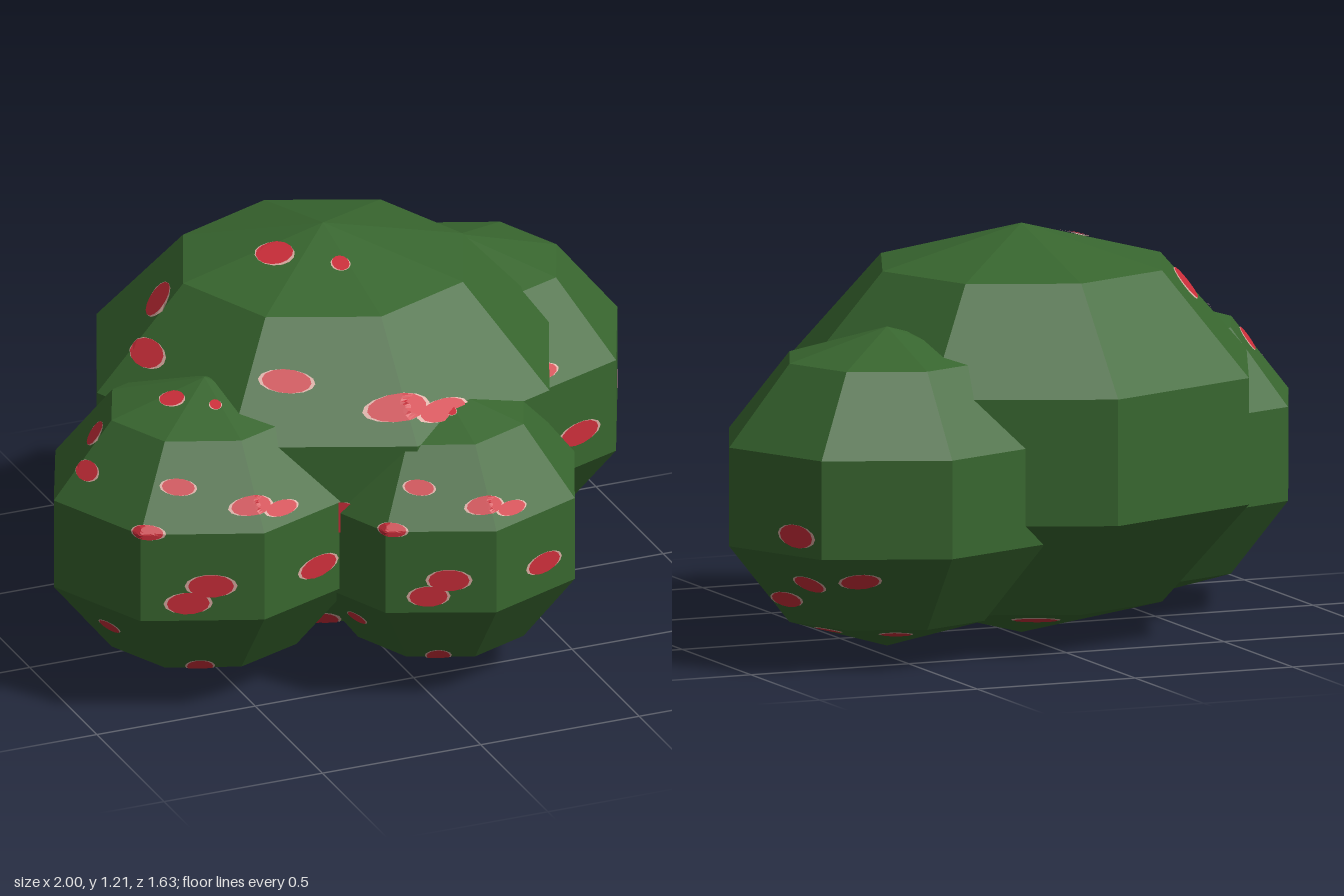
import * as THREE from 'three';
import { mergeGeometries } from 'three/addons/utils/BufferGeometryUtils.js';

const green = new THREE.MeshStandardMaterial({ color: 0x38662f, flatShading: true });
green.name = 'leafGreen';
const red = new THREE.MeshStandardMaterial({ color: 0xcc2e3a, flatShading: true });
red.name = 'berryRed';
const pale = new THREE.MeshStandardMaterial({ color: 0xd8aaa0, flatShading: true });
pale.name = 'berryRim';

// Berry patches on the unit clump: direction x, y, z, half width, half height
const BERRIES = [
  [-0.40, 0.56, 0.60, 0.10, 0.055],
  [-0.03, 0.46, 0.83, 0.13, 0.065],
  [0.16, 0.40, 0.82, 0.12, 0.05],
  [-0.63, 0.32, 0.68, 0.10, 0.05],
  [-0.29, -0.06, 0.83, 0.14, 0.08],
  [-0.41, -0.18, 0.78, 0.13, 0.075],
  [0.40, -0.08, 0.785, 0.15, 0.075],
  [-0.77, 0.52, 0.08, 0.09, 0.065],
  [-0.69, -0.53, 0.24, 0.08, 0.06],
  [-0.23, -0.78, 0.51, 0.08, 0.065],
  [0.76, 0.11, 0.47, 0.14, 0.075],
  [0.748, -0.18, -0.49, 0.13, 0.07],
  [0.657, -0.635, -0.14, 0.12, 0.06],
  [0.64, -0.50, -0.42, 0.11, 0.06],
  [0.43, -0.46, -0.66, 0.11, 0.06],
  [-0.23, 0.92, 0.065, 0.085, 0.07],
  [-0.03, 0.92, 0.25, 0.035, 0.045],
  [-0.64, 0.67, -0.12, 0.12, 0.08],
  [0.46, -0.85, 0.18, 0.09, 0.06],
  [0.44, -0.85, -0.20, 0.09, 0.06],
  [0.12, -0.86, -0.42, 0.09, 0.06],
];

// Clumps: name, centre, radii
const CLUMPS = [
  ['mainClump', [-0.03, 0.603, -0.105], [0.75, 0.603, 0.74]],
  ['frontRightClump', [-0.525, 0.475, 0.18], [0.5, 0.448, 0.47]],
  ['frontClump', [0.13, 0.45, 0.395], [0.444, 0.42, 0.438]],
  ['backLeftClump', [0.5, 0.5, -0.342], [0.526, 0.47, 0.5]],
];

// Planes of the faceted clump, used to lay the berry patches on it
function facetPlanes(geometry) {
  const p = geometry.toNonIndexed().attributes.position;
  const planes = [];
  for (let i = 0; i < p.count; i += 3) {
    const [a, b, c] = [0, 1, 2].map((k) => new THREE.Vector3().fromBufferAttribute(p, i + k));
    planes.push(new THREE.Plane().setFromCoplanarPoints(a, b, c));
  }
  return planes;
}

// Thin elliptical patch that follows the facets
function patch(planes, [x, y, z, w, h], grow, lift) {
  const dir = new THREE.Vector3(x, y, z);
  const east = new THREE.Vector3(0, 1, 0).cross(dir).normalize();
  const north = dir.clone().cross(east).normalize();
  const geo = new THREE.RingGeometry(0.001, 1, 14, 5);
  const pos = geo.attributes.position;
  const v = new THREE.Vector3();
  for (let i = 0; i < pos.count; i++) {
    v.copy(dir)
      .addScaledVector(east, pos.getX(i) * w * grow)
      .addScaledVector(north, pos.getY(i) * h);
    let t = Infinity;
    for (const plane of planes) {
      const d = plane.normal.dot(v);
      if (d > 1e-6) t = Math.min(t, -plane.constant / d);
    }
    v.multiplyScalar(t * lift);
    pos.setXYZ(i, v.x, v.y, v.z);
  }
  geo.computeVertexNormals();
  return geo;
}

export function createModel() {
  const bush = new THREE.Group();
  bush.name = 'berryBush';

  const leafGeo = new THREE.SphereGeometry(1, 8, 5);
  const planes = facetPlanes(leafGeo);
  const berryGeo = mergeGeometries(BERRIES.map((b) => patch(planes, b, 0.95, 1.01)));
  const rimGeo = mergeGeometries(BERRIES.map((b) => patch(planes, b, 1.1, 1.006)));

  // Every clump repeats the same foliage and berries at its own size
  for (const [name, centre, radii] of CLUMPS) {
    const clump = new THREE.Group();
    clump.name = name;
    clump.position.set(...centre);
    clump.scale.set(...radii);
    const parts = [['foliage', leafGeo, green], ['berries', berryGeo, red], ['berryRims', rimGeo, pale]];
    for (const [part, geo, material] of parts) {
      const mesh = new THREE.Mesh(geo, material);
      mesh.name = part;
      clump.add(mesh);
    }
    bush.add(clump);
  }
  return bush;
}
